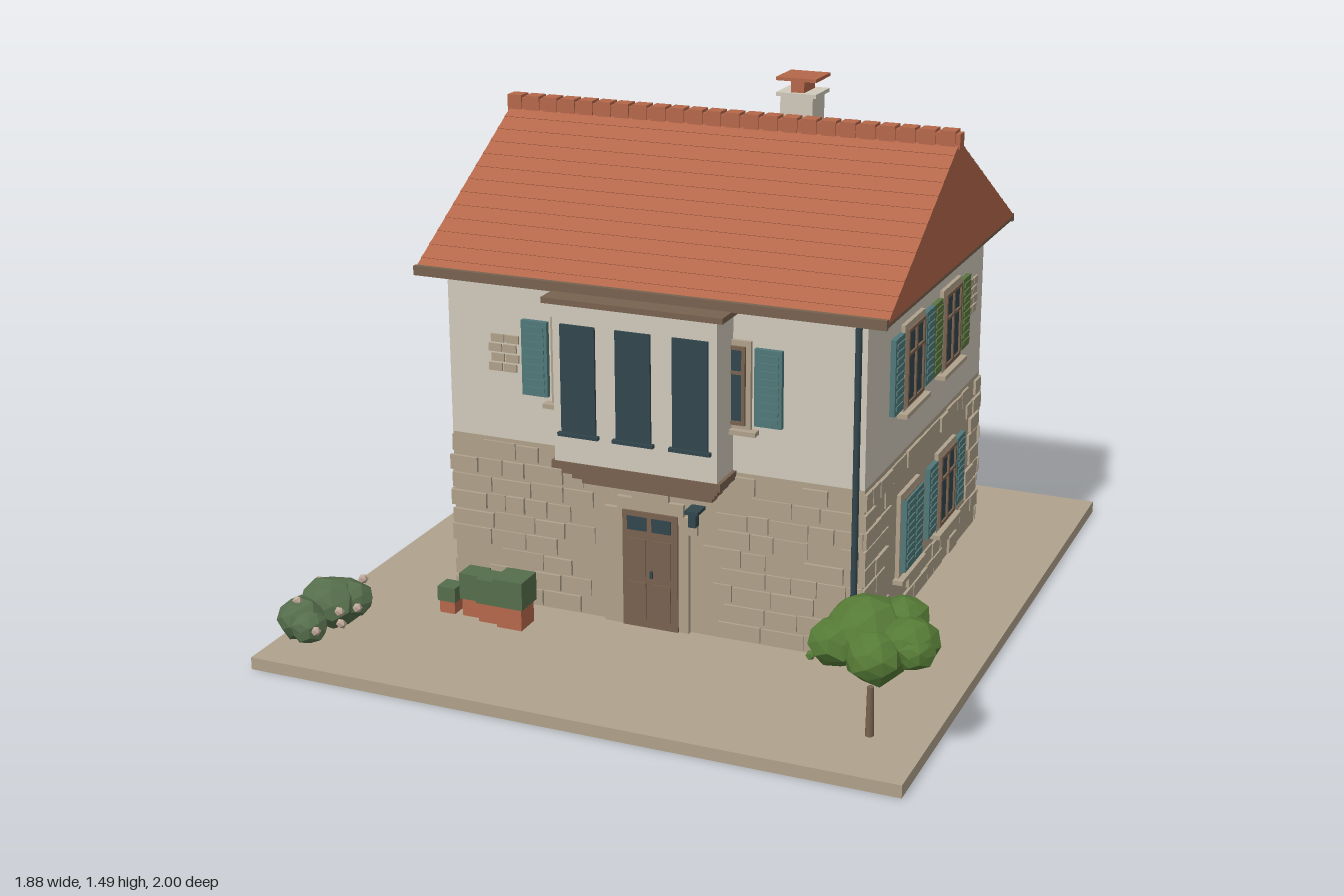
import * as THREE from 'three';
import { mergeGeometries } from 'three/addons/utils/BufferGeometryUtils.js';

const mat = (name, color) => Object.assign(new THREE.MeshStandardMaterial({ color }), { name });
const M = {
  stone: mat('stone', 0xb0a28c), plaster: mat('plaster', 0xd0cabb), tile: mat('terracotta', 0xb5684a),
  wood: mat('wood', 0x78624f), glass: mat('dark glass', 0x32464d), teal: mat('teal paint', 0x507879),
  green: mat('green paint', 0x5c7642), leaf: mat('foliage', 0x557a36), bush: mat('shrub', 0x566e4c),
  flower: mat('blossom', 0xbfa898),
};
let seed = 7;
const rnd = () => (seed = (seed * 16807) % 2147483647) / 2147483647;

function add(parent, name, geo, material) {
  const m = new THREE.Mesh(geo, material);
  m.name = name;
  parent.add(m);
  return m;
}
const boxGeo = (x0, x1, y0, y1, z0, z1) =>
  new THREE.BoxGeometry(x1 - x0, y1 - y0, z1 - z0).translate((x0 + x1) / 2, (y0 + y1) / 2, (z0 + z1) / 2);
const box = (parent, name, material, ...b) => add(parent, name, boxGeo(...b), material);
function group(parent, name, x = 0, y = 0, z = 0, ry = 0) {
  const g = new THREE.Group();
  g.name = name;
  g.position.set(x, y, z);
  g.rotation.y = ry;
  parent.add(g);
  return g;
}

// Faceted, slightly lumpy ball
function blob(parent, name, material, x, y, z, rx, ry = rx, rz = rx, detail = 1) {
  const geo = new THREE.IcosahedronGeometry(1, detail), p = geo.attributes.position;
  for (let i = 0; i < p.count; i++) {
    const k = 0.95 + 0.08 * Math.sin(p.getX(i) * 5 + x * 40) * Math.cos(p.getY(i) * 4 + p.getZ(i) * 6 + z * 30);
    p.setXYZ(i, p.getX(i) * k * rx, p.getY(i) * k * ry, p.getZ(i) * k * rz);
  }
  geo.computeVertexNormals();
  add(parent, name, geo, material).position.set(x, y, z);
}

// Shutter leaf with louvre slats
function shutter(parent, u, y, material) {
  const g = [boxGeo(u - 0.039, u + 0.039, y - 0.108, y + 0.108, 0, 0.015)];
  for (let i = 0; i < 9; i++) {
    const s = y - 0.088 + i * 0.022;
    g.push(boxGeo(u - 0.03, u + 0.03, s - 0.006, s + 0.006, 0.015, 0.019));
  }
  add(parent, 'shutter', mergeGeometries(g), material);
}

// Window on a wall: u along the wall, z outward
function makeWindow(wall, u, y, paint, { closed = false, sides = [-1, 1], pots = false } = {}) {
  const g = group(wall, 'window', u, y, 0);
  box(g, 'windowSurround', M.stone, -0.09, 0.09, -0.122, 0.125, 0, 0.012);
  box(g, 'windowSill', M.stone, -0.11, 0.11, -0.135, -0.122, 0, 0.03);
  box(g, 'windowGlass', M.glass, -0.074, 0.074, -0.108, 0.108, 0.012, 0.014);
  const bars = [[-0.076, -0.066, -0.11, 0.11], [0.066, 0.076, -0.11, 0.11], [-0.005, 0.005, -0.11, 0.11],
    [-0.07, 0.07, 0.1, 0.11], [-0.07, 0.07, -0.11, -0.1], [-0.07, 0.07, 0.032, 0.04]];
  add(g, 'windowFrame', mergeGeometries(bars.map((b) => boxGeo(...b, 0.012, 0.02))), M.wood);
  if (closed) for (const s of [-1, 1]) shutter(group(g, 'closedShutter', 0, 0, 0.012), s * 0.039, 0, paint);
  else for (const s of sides) shutter(g, s * 0.14, 0, paint);
  if (pots) for (const px of [-0.045, 0, 0.045]) {
    box(g, 'sillPot', M.tile, px - 0.012, px + 0.012, -0.122, -0.095, 0.012, 0.034);
    blob(g, 'sillPlant', M.leaf, px, -0.078, 0.024, 0.017, 0.02, 0.015, 0);
  }
}

// Coursed masonry plates, leaving out the given openings [u0,u1,y0,y1]
function masonry(wall, u0, u1, openings) {
  const plates = [], rows = 9, h = 0.485 / rows;
  for (let r = 0; r < rows; r++) {
    const y = 0.04 + r * h;
    let u = u0 - (r % 2 ? 0.004 : 0);
    while (u < u1 - 0.03) {
      const e = Math.min(u + 0.055 + rnd() * 0.08, u1), top = y + h - 0.005 - rnd() * 0.006;
      const hit = openings.some((o) => e > o[0] && u < o[1] && top > o[2] && y < o[3]);
      if (!hit && rnd() > 0.08) plates.push(boxGeo(u, e - 0.005, y, top, 0, 0.004 + rnd() * 0.006));
      u = e;
    }
  }
  add(wall, 'stoneBlocks', mergeGeometries(plates), M.stone);
}

// Patch of bare masonry in the plaster
function patch(wall, u, y) {
  for (let r = 0; r < 4; r++) for (let c = 0; c < 2; c++) {
    const a = u + c * 0.045 + (r % 2) * 0.008;
    box(wall, 'exposedBrick', M.stone, a, a + 0.04, y + r * 0.028, y + r * 0.028 + 0.023, 0, 0.006);
  }
}

function buildRoof(house) {
  const g = group(house, 'roof'), zf = 0.455, zb = -0.77, zr = -0.155, y0 = 1.012, y1 = 1.365;
  const s = new THREE.Shape([new THREE.Vector2(-zf, y0), new THREE.Vector2(-zb, y0), new THREE.Vector2(-zr, y1)]);
  const geo = new THREE.ExtrudeGeometry(s, { depth: 1.37, bevelEnabled: false }).rotateY(Math.PI / 2).translate(-0.7, 0, 0);
  add(g, 'roofBody', geo, M.tile);
  box(g, 'soffit', M.wood, -0.7, 0.67, 1.002, 1.012, zb + 0.005, zf - 0.005);
  box(g, 'frontFascia', M.wood, -0.7, 0.67, 0.998, 1.025, zf - 0.01, zf + 0.005);
  box(g, 'backFascia', M.wood, -0.7, 0.67, 0.995, 1.018, zb - 0.002, zb + 0.012);
  // Tile courses
  for (const ze of [zf, zb]) for (let i = 1; i < 13; i++) {
    const t = i / 13, course = add(g, 'tileCourse', new THREE.BoxGeometry(1.37, 0.003, 0.012), M.tile);
    course.position.set(-0.015, y0 + (y1 - y0) * t, ze + (zr - ze) * t);
    course.rotation.x = Math.atan2(y1 - y0, Math.abs(ze - zr)) * (ze > zr ? 1 : -1);
  }
  // Ridge caps
  for (let i = 0; i < 24; i++) {
    const x = -0.705 + i * 0.0575;
    box(g, 'ridgeTile', M.tile, x, x + 0.045, 1.345, 1.395, -0.18, -0.133);
    box(g, 'ridgeJoint', M.tile, x + 0.045, x + 0.0575, 1.345, 1.387, -0.176, -0.137);
  }
  // Rafter tails
  for (let i = 0; i < 18; i++) {
    const x = -0.66 + i * 0.075;
    box(g, 'rafterTail', M.wood, x, x + 0.02, 0.982, 1.004, zb + 0.012, -0.68);
  }
  const c = group(g, 'chimney');
  box(c, 'chimneyStack', M.plaster, 0.117, 0.215, 1.2, 1.437, -0.325, -0.227);
  box(c, 'chimneySlab', M.plaster, 0.106, 0.226, 1.435, 1.446, -0.338, -0.222);
  box(c, 'chimneyPot', M.tile, 0.146, 0.186, 1.446, 1.482, -0.325, -0.235);
  box(c, 'chimneyCap', M.tile, 0.106, 0.226, 1.48, 1.49, -0.342, -0.222);
}

function buildBay(house) {
  const g = group(house, 'bay');
  box(g, 'bayWalls', M.plaster, -0.252, 0.225, 0.53, 0.985, 0.38, 0.508);
  box(g, 'bayRoof', M.wood, -0.277, 0.247, 0.984, 1, 0.38, 0.525);
  for (let i = 0; i < 4; i++)
    box(g, 'bayCorbel', M.wood, -0.262 + i * 0.018, 0.235 - i * 0.018, 0.513 - i * 0.022, 0.535 - i * 0.022, 0.38, 0.512 - i * 0.026);
  for (const x of [-0.177, -0.015, 0.15]) {
    box(g, 'bayWindow', M.glass, x - 0.051, x + 0.051, 0.622, 0.928, 0.5, 0.515);
    box(g, 'baySill', M.glass, x - 0.06, x + 0.06, 0.612, 0.622, 0.5, 0.522);
  }
}

function buildDoor(wall) {
  const g = group(wall, 'door');
  const pts = [[-0.155, 0.035], [0.1, 0.035], [0.1, 0.33], [0.125, 0.33], [0.125, 0.38], [0.085, 0.38], [0.085, 0.415],
    [0.04, 0.415], [0.04, 0.435], [-0.07, 0.435], [-0.07, 0.415], [-0.115, 0.415], [-0.115, 0.38], [-0.155, 0.38]];
  const s = new THREE.Shape(pts.map((p) => new THREE.Vector2(...p)));
  add(g, 'doorSurround', new THREE.ExtrudeGeometry(s, { depth: 0.014, bevelEnabled: false }), M.stone);
  box(g, 'doorLeaf', M.wood, -0.096, 0.07, 0.035, 0.38, 0, 0.02);
  for (const x of [-0.052, 0.022]) {
    box(g, 'doorPane', M.glass, x - 0.029, x + 0.029, 0.325, 0.365, 0.02, 0.023);
    for (const y of [0.06, 0.19]) box(g, 'doorPanel', M.wood, x - 0.027, x + 0.027, y, y + 0.11, 0.02, 0.024);
  }
  box(g, 'doorHandle', M.glass, -0.01, -0.002, 0.19, 0.21, 0.02, 0.032);
  box(g, 'lampArm', M.glass, 0.105, 0.145, 0.408, 0.418, 0, 0.055);
  box(g, 'lamp', M.glass, 0.114, 0.136, 0.37, 0.408, 0.025, 0.05);
}

function buildGarden(root) {
  const tree = group(root, 'tree');
  add(tree, 'trunk', new THREE.CylinderGeometry(0.009, 0.012, 0.14, 8).translate(0.755, 0.1, 0.785), M.wood);
  for (const [x, y, z, r, h] of [[0.74, 0.32, 0.77, 0.115, 0.09], [0.68, 0.3, 0.83, 0.075, 0.065], [0.79, 0.29, 0.86, 0.08, 0.07],
    [0.86, 0.32, 0.8, 0.08, 0.065], [0.82, 0.35, 0.73, 0.07, 0.055], [0.72, 0.3, 0.71, 0.065, 0.06], [0.88, 0.31, 0.83, 0.055, 0.05]])
    blob(tree, 'treeFoliage', M.leaf, x, y, z, r, h, r);
  for (const [x, y, z] of [[0.67, 0.235, 0.64], [0.71, 0.3, 0.63], [0.75, 0.33, 0.63], [0.61, 0.28, 0.74], [0.61, 0.25, 0.83]])
    blob(tree, 'leafTuft', M.leaf, x, y, z, 0.014, 0.014, 0.014, 0);
  const shrub = group(root, 'shrub');
  for (const [x, y, z, r, h] of [[-0.84, 0.11, 0.74, 0.095, 0.072], [-0.875, 0.095, 0.84, 0.068, 0.064], [-0.79, 0.12, 0.72, 0.065, 0.055], [-0.84, 0.085, 0.86, 0.055, 0.05]])
    blob(shrub, 'shrubFoliage', M.bush, x, y, z, r, h, r);
  for (const [x, y, z] of [[-0.74, 0.12, 0.77], [-0.76, 0.13, 0.83], [-0.75, 0.1, 0.84], [-0.78, 0.16, 0.67], [-0.9, 0.15, 0.71], [-0.88, 0.15, 0.85], [-0.8, 0.09, 0.89]])
    blob(shrub, 'blossom', M.flower, x, y, z, 0.015, 0.015, 0.015, 0);
  // Potted plants beside the door
  for (const [x, z, w, rim, top] of [[-0.587, 0.518, 0.028, 0.072, 0.115], [-0.512, 0.51, 0.033, 0.088, 0.165],
    [-0.447, 0.525, 0.037, 0.092, 0.165], [-0.375, 0.533, 0.045, 0.1, 0.182]]) {
    box(root, 'planter', M.tile, x - w * 0.85, x + w * 0.85, 0.035, rim, z - w * 0.85, z + w * 0.85);
    box(root, 'planterHedge', M.bush, x - w, x + w, rim, top, z - w, z + w);
  }
}

export function createModel() {
  const root = new THREE.Group();
  root.name = 'house';
  box(root, 'ground', M.stone, -0.94, 0.91, 0, 0.035, -1, 1);
  box(root, 'stoneStorey', M.stone, -0.63, 0.6, 0.035, 0.53, -0.695, 0.395);
  box(root, 'plasterStorey', M.plaster, -0.63, 0.6, 0.53, 1.004, -0.695, 0.395);
  const front = group(root, 'frontWall', 0, 0, 0.395), back = group(root, 'backWall', 0, 0, -0.695, Math.PI);
  const left = group(root, 'leftWall', 0.6, 0, 0, Math.PI / 2), right = group(root, 'rightWall', -0.63, 0, 0, -Math.PI / 2);
  const hi = 0.782, lo = 0.29;
  const hole = (u) => [u - 0.185, u + 0.185, lo - 0.14, lo + 0.13];
  makeWindow(front, -0.219, hi, M.teal, { sides: [-1] });
  makeWindow(front, 0.19, hi, M.teal, { sides: [1] });
  masonry(front, -0.634, 0.604, [[-0.16, 0.13, 0, 0.44]]);
  patch(front, -0.505, 0.73);
  makeWindow(left, -0.022, hi, M.teal);
  makeWindow(left, 0.335, hi, M.green);
  makeWindow(left, -0.022, lo, M.teal, { closed: true });
  makeWindow(left, 0.335, lo, M.teal);
  masonry(left, -0.399, 0.699, [[-0.12, 0.08, 0.14, 0.42], hole(0.335)]);
  patch(left, 0.53, 0.75);
  makeWindow(back, -0.19, hi, M.teal, { sides: [1] });
  makeWindow(back, 0.219, hi, M.teal, { pots: true });
  makeWindow(back, -0.19, lo, M.teal);
  makeWindow(back, 0.219, lo, M.green, { pots: true });
  masonry(back, -0.604, 0.634, [hole(-0.19), hole(0.219)]);
  makeWindow(right, 0.022, hi, M.teal);
  makeWindow(right, -0.335, hi, M.green);
  makeWindow(right, 0.022, lo, M.teal, { pots: true });
  makeWindow(right, -0.335, lo, M.teal, { pots: true });
  masonry(right, -0.699, 0.399, [hole(0.022), hole(-0.335)]);
  // Climbing vine
  box(right, 'vineStem', M.wood, -0.565, -0.555, 0.035, 0.7, 0, 0.012);
  for (let i = 0; i < 20; i++) {
    const u = -0.56 + (rnd() - 0.5) * 0.09, y = 0.12 + i * 0.034, w = 0.018 + rnd() * 0.012;
    box(right, 'vineLeaf', M.green, u - w, u + w, y - w, y + w, 0.008, 0.018 + rnd() * 0.012);
  }
  buildDoor(front);
  buildBay(root);
  buildRoof(root);
  // Drainpipe
  add(root, 'drainpipe', new THREE.CylinderGeometry(0.009, 0.009, 0.96, 10).translate(0.58, 0.52, 0.41), M.glass);
  box(root, 'drainShoe', M.glass, 0.562, 0.598, 0.035, 0.047, 0.4, 0.43);
  buildGarden(root);
  return root;
}
